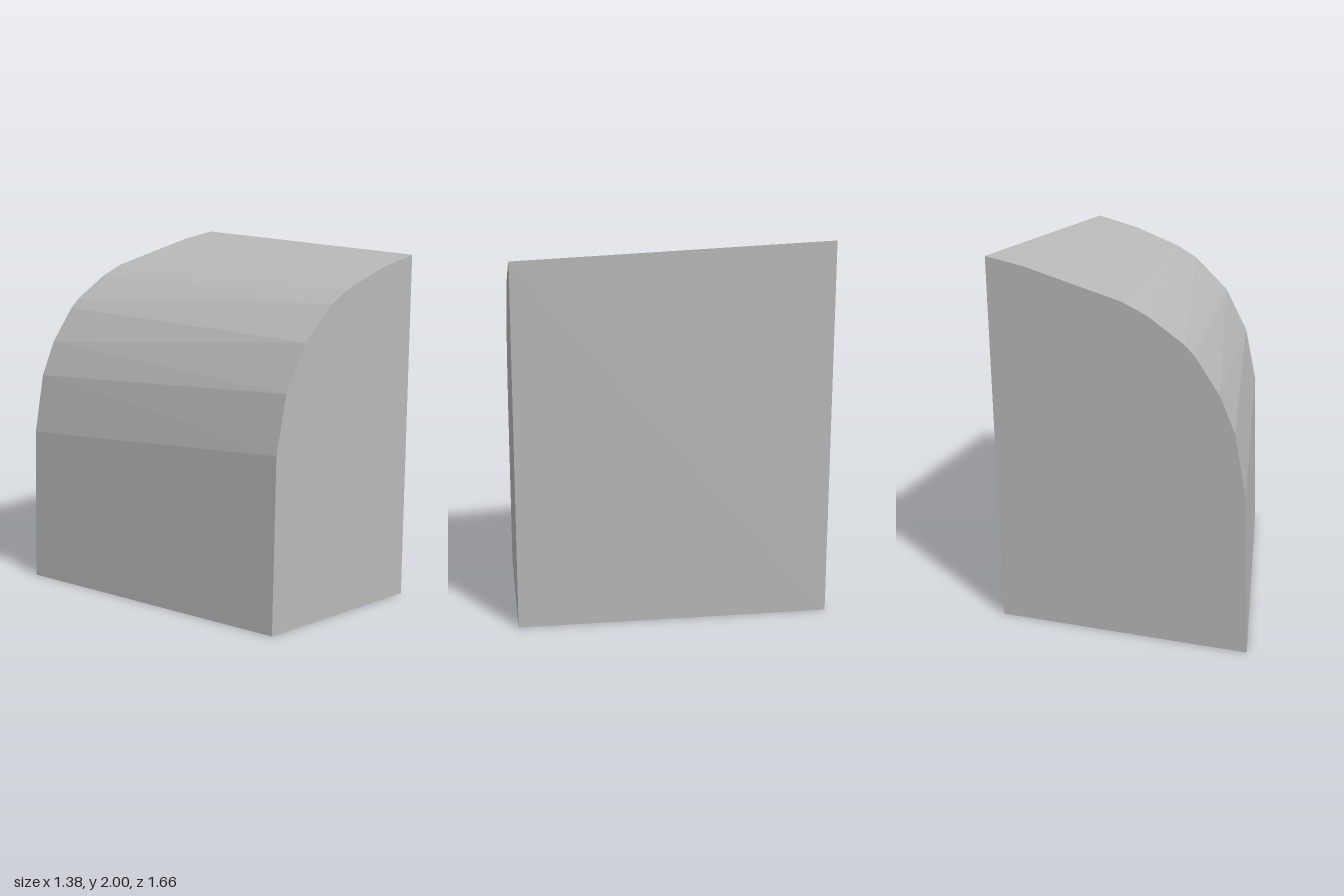
import * as THREE from 'three';
import { ConvexGeometry } from 'three/addons/geometries/ConvexGeometry.js';

// Outline of the front end, from the foot of the curved side up to the tall side
const frontProfile = [
  [-0.345, 0], [-0.325, 0.95], [-0.26, 1.26], [-0.13, 1.51], [0.06, 1.69],
  [0.18, 1.76], [0.45, 1.86], [0.69, 1.92], [0.68, 0],
];

// Wider, taller outline of the back end
const backProfile = [
  [-0.695, 0], [-0.67, 0.87], [-0.61, 1.2], [-0.53, 1.39], [-0.4, 1.58],
  [-0.35, 1.63], [-0.16, 1.76], [-0.03, 1.82], [0.48, 1.96], [0.69, 2], [0.68, 0],
];

export function createModel() {
  const group = new THREE.Group();
  group.name = 'taperedQuarterDome';
  const grey = new THREE.MeshStandardMaterial({ color: 0xb8b8b8 });
  grey.name = 'plain grey';

  // The solid is convex: the faceted skin spans the two end outlines
  const points = [
    ...frontProfile.map(([x, y]) => new THREE.Vector3(x, y, 0.83)),
    // the back end is turned very slightly
    ...backProfile.map(([x, y]) => new THREE.Vector3(x, y, -0.83 + 0.006 * x)),
  ];
  const body = new THREE.Mesh(new ConvexGeometry(points), grey);
  body.name = 'body';
  group.add(body);
  return group;
}
